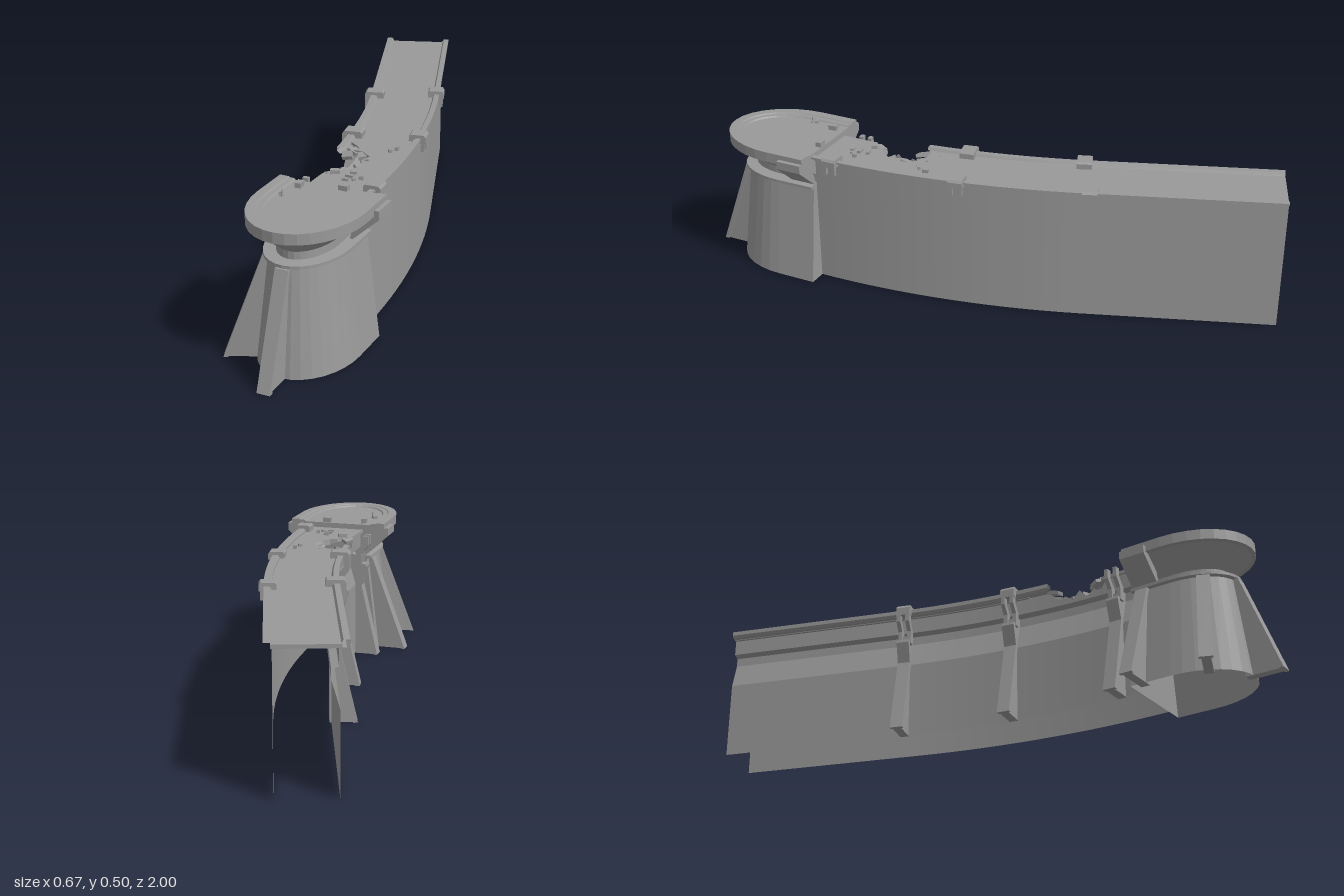
import * as THREE from 'three';

const stone = new THREE.MeshStandardMaterial({ color: 0x999999, flatShading: true, side: THREE.DoubleSide });
const R = 2.69, BEND = 0.338, CX = 0.142, Z0 = 0.54, END = 1.55;

// Centre line: an arc leaving the bastion, then a straight run to the back
function frame(d) {
  const a = Math.min(d / R, BEND), run = Math.max(0, d - R * BEND);
  return {
    a,
    x: CX - R + R * Math.cos(a) - run * Math.sin(a),
    z: Z0 - R * Math.sin(a) - run * Math.cos(a),
  };
}
function at(d, off) {
  const f = frame(d);
  return [f.x + off * Math.cos(f.a), f.z - off * Math.sin(f.a)];
}

function add(parent, name, geo) {
  const mesh = new THREE.Mesh(geo, stone);
  mesh.name = name;
  parent.add(mesh);
  return mesh;
}

// Skin between rows of points
function loft(rows) {
  const pos = [], idx = [], n = rows[0].length;
  rows.forEach((row) => row.forEach((p) => pos.push(...p)));
  for (let i = 0; i < rows.length - 1; i++) {
    for (let j = 0; j < n - 1; j++) {
      const a = i * n + j, b = a + n;
      idx.push(a, b, a + 1, b, b + 1, a + 1);
    }
  }
  const geo = new THREE.BufferGeometry();
  geo.setAttribute('position', new THREE.Float32BufferAttribute(pos, 3));
  geo.setIndex(idx);
  geo.computeVertexNormals();
  return geo;
}

// Sweep an [offset, y] profile along the wall
function sweep(profile, d0, d1) {
  const rows = [], n = Math.max(2, Math.ceil((d1 - d0) / 0.06));
  for (let i = 0; i <= n; i++) {
    const d = d0 + (d1 - d0) * i / n;
    rows.push(profile.map(([o, y]) => {
      const [x, z] = at(d, o);
      return [x, y, z];
    }));
  }
  return loft(rows);
}

const shape = (pts) => new THREE.Shape(pts.map(([x, y]) => new THREE.Vector2(x, y)));
function plate(pts, width, zMid = 0) {
  const geo = new THREE.ExtrudeGeometry(shape(pts), { depth: width, bevelEnabled: false });
  return geo.translate(0, 0, zMid - width / 2);
}

// Sloping buttress: inner runs top to bottom, outer bottom to top, outward along +x
function buttress(parent, inner, outer) {
  const back = outer.map(([x, y]) => [x - 0.015, y]);
  add(parent, 'buttressWeb', plate([...inner, ...back], 0.03));
  add(parent, 'buttressFlange', plate([...outer, ...back.reverse()], 0.044));
}

export function createModel() {
  const model = new THREE.Group();

  // Long curved wall
  const wall = new THREE.Group();
  wall.name = 'curvedWall';
  model.add(wall);
  add(wall, 'leftWall', sweep([[0.095, 0], [0.095, 0.46]], 0, END));
  add(wall, 'leftRim', sweep([[0.095, 0.46], [0.12, 0.46], [0.12, 0.467], [0.102, 0.467], [0.096, 0.458]], 0, END));
  add(wall, 'rightWall', sweep([[-0.09, 0.39], [-0.068, 0.383], [-0.068, 0.353], [-0.094, 0.265], [-0.094, 0]], 0, END));
  add(wall, 'rightRim', sweep([[-0.096, 0.458], [-0.102, 0.467], [-0.121, 0.467], [-0.121, 0.453],
    [-0.112, 0.445], [-0.09, 0.445], [-0.09, 0.39]], 0.33, END));

  // Walkway with a broken bite out of its right edge
  const outline = [];
  for (let i = 0; i <= 26; i++) outline.push(at(END * i / 26, 0.099));
  for (let i = 26; i >= 7; i--) outline.push(at(END * i / 26, -0.099));
  outline.push([0.04, 0.16], [0.06, 0.18], [0.05, 0.2], [0.08, 0.2], [0.12, 0.23], [0.11, 0.27], [0.13, 0.31],
    [0.11, 0.35], [0.08, 0.36], [0.09, 0.38], [0.06, 0.39], [0.045, 0.42], at(0, -0.099));
  const deck = plate(outline.map(([x, z]) => [x, -z]), 0.012);
  add(wall, 'walkway', deck.rotateX(-Math.PI / 2).translate(0, 0.449, 0));

  // Clamps on the left rim
  for (const d of [0.07, 0.5, 0.92]) {
    const f = frame(d);
    const left = new THREE.Group();
    left.name = 'leftClamp';
    left.position.set(f.x, 0, f.z);
    left.rotation.y = f.a;
    model.add(left);
    add(left, 'clampCap', plate([[0.08, 0.45], [0.08, 0.473], [0.085, 0.478], [0.13, 0.478], [0.136, 0.47], [0.136, 0.45]], 0.05));
    for (const s of [-0.016, 0.016]) {
      add(left, 'clampLeg', plate([[0.12, 0.42], [0.132, 0.42], [0.132, 0.46], [0.12, 0.46]], 0.012, s));
    }
  }

  // Buttresses along the right side; the one by the breach has lost its clamp cap
  for (const d of [0.07, 0.48, 0.89]) {
    const f = frame(d);
    const right = new THREE.Group();
    right.name = 'rightButtress';
    right.position.set(f.x, 0, f.z);
    right.rotation.y = Math.PI + f.a;
    model.add(right);
    if (d > 0.1) {
      add(right, 'clampCap', plate([[0.075, 0.455], [0.075, 0.473], [0.081, 0.478], [0.134, 0.478],
        [0.142, 0.468], [0.142, 0.44], [0.122, 0.44], [0.122, 0.455]], 0.05));
    }
    for (const s of [-0.016, 0.016]) {
      add(right, 'clampLeg', plate([[0.142, 0.45], [0.142, 0.415], [0.118, 0.385], [0.118, 0.34],
        [0.095, 0.34], [0.095, 0.39], [0.122, 0.42], [0.122, 0.45]], 0.014, s));
    }
    add(right, 'clampSpacer', plate([[0.06, 0.345], [0.11, 0.345], [0.11, 0.37], [0.06, 0.39]], 0.03));
    buttress(right, [[0.06, 0.345], [0.06, 0.34], [0.088, 0.265], [0.088, 0]],
      [[0.18, 0], [0.118, 0.265], [0.137, 0.335], [0.135, 0.345]]);
  }

  // Bastion: U-shaped plan stacked through a flared profile
  const bastion = new THREE.Group();
  bastion.name = 'bastion';
  model.add(bastion);
  const uShape = (r, y) => {
    const pts = [[CX + r, y, Z0]];
    for (let i = 0; i <= 16; i++) {
      const a = Math.PI * i / 16;
      pts.push([CX + r * Math.cos(a), y, 0.68 + (r + 0.06) * Math.sin(a)]);
    }
    pts.push([CX - r, y, Z0]);
    return pts;
  };
  const tiers = [[0.157, 0], [0.115, 0.345], [0.13, 0.347], [0.13, 0.357], [0.09, 0.36], [0.09, 0.385],
    [0.165, 0.445], [0.18, 0.447], [0.18, 0.482], [0.15, 0.482], [0.147, 0.479], [0.13, 0.479], [0.126, 0.474], [0, 0.474]];
  add(bastion, 'tower', loft(tiers.map(([r, y]) => uShape(r, y))));
  const half = tiers.slice(0, -1);
  const backFace = [...half, ...half.map(([r, y]) => [-r, y]).reverse()];
  add(bastion, 'backFace', new THREE.ShapeGeometry(shape(backFace)).translate(CX, 0, Z0));

  // Shoulder blocks where the bastion meets the wall
  for (const s of [-1, 1]) {
    const pts = [[0.1, 0.36], [0.11, 0.36], [0.195, 0.437], [0.195, 0.465], [0.13, 0.465]].map(([x, y]) => [s * x, y]);
    add(bastion, 'shoulder', plate(pts, 0.09, 0.585)).position.x = CX;
  }

  // Bastion buttresses: side, diagonal and front
  for (const [x, z, turn] of [[CX, 0.58, Math.PI], [0.16, 0.74, Math.PI + 0.39], [CX, 0.74, -Math.PI / 2]]) {
    const g = new THREE.Group();
    g.name = 'bastionButtress';
    g.position.set(x, 0, z);
    g.rotation.y = turn;
    bastion.add(g);
    buttress(g, [[0.09, 0.345], [0.13, 0]], [[0.26, 0], [0.132, 0.345]]);
  }

  // Rubble blocks: x, y, z, width, height, depth, turn
  const blocks = [
    [0.05, 0.482, 0.58, 0.02, 0.016, 0.03, 0.1], [0.185, 0.484, 0.55, 0.03, 0.016, 0.02, 0],
    [0.03, 0.48, 0.66, 0.016, 0.01, 0.012, 0.5], [0.18, 0.465, 0.15, 0.012, 0.012, 0.02, 0.2],
    [0.17, 0.465, 0.18, 0.012, 0.01, 0.012, 0.6], [0.18, 0.465, 0.42, 0.014, 0.012, 0.014, 0.3],
    [0.14, 0.464, 0.39, 0.02, 0.008, 0.012, 0.2], [0.14, 0.464, 0.42, 0.026, 0.008, 0.012, 0],
    [0.14, 0.464, 0.45, 0.02, 0.008, 0.012, 0.1], [0.165, 0.464, 0.44, 0.012, 0.008, 0.01, 0.7],
    [0.08, 0.46, 0.4, 0.03, 0.014, 0.02, 0.5],
  ];
  for (const [x, y, z, w, h, dp, turn] of blocks) {
    const b = add(model, 'rubble', new THREE.BoxGeometry(w, h, dp));
    b.position.set(x, y, z);
    b.rotation.y = turn;
  }

  // Jagged slabs around the breach
  const edge = [[0.05, 0.19], [0.09, 0.21], [0.12, 0.25], [0.13, 0.31], [0.1, 0.36], [0.06, 0.39], [0.04, 0.23]];
  edge.forEach(([x, z], i) => {
    const s = add(model, 'brokenSlab', plate([[-0.025, -0.01], [0.01, -0.02], [0.03, 0.01], [-0.01, 0.02]], 0.012));
    s.position.set(x, 0.446, z);
    s.rotation.set(-Math.PI / 2 + 0.25 * Math.sin(i * 2.3), 0.3 * Math.cos(i * 1.7), i * 0.9);
  });
  // Jagged stump of the rim wall along the breach
  const stump = [0.45, 0.45, 0.45, 0.44, 0.45, 0.41, 0.42, 0.4, 0.43, 0.4, 0.42, 0.41, 0.44].map((y, i) => {
    const [x, z] = at(0.33 * i / 12, -0.09);
    return [[x, 0.39, z], [x, y, z]];
  });
  add(wall, 'brokenRim', loft(stump));
  // Upright splinter on the bastion
  const splinter = add(model, 'splinter', new THREE.ConeGeometry(0.006, 0.03, 4));
  splinter.position.set(0.04, 0.49, 0.67);

  return model;
}
